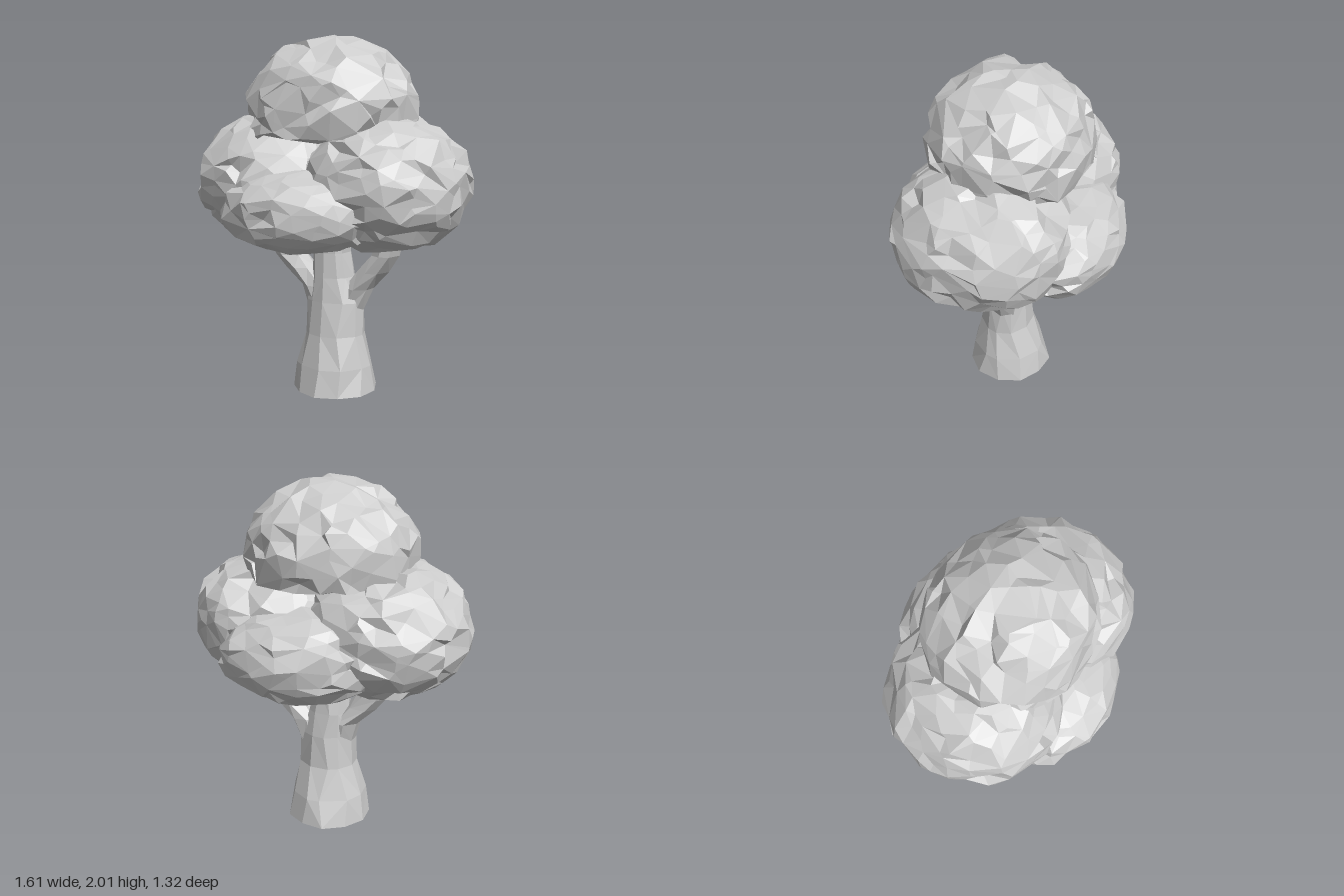
import * as THREE from 'three';
import { ConvexGeometry } from 'three/addons/geometries/ConvexGeometry.js';

// Small seeded random generator
function seeded(seed) {
  let s = seed;
  return () => {
    s = (s + 0x6d2b79f5) | 0;
    let t = Math.imul(s ^ (s >>> 15), 1 | s);
    t = (t + Math.imul(t ^ (t >>> 7), 61 | t)) ^ t;
    return ((t ^ (t >>> 14)) >>> 0) / 4294967296;
  };
}

// Irregularly faceted leaf clump: scattered points on a ball, hulled, then crumpled
function clumpGeometry(count, radii, seed, power, floor) {
  const rand = seeded(seed);
  const points = [];
  for (let i = 0; i < count; i++) {
    const y = THREE.MathUtils.clamp(1 - (2 * (i + 0.5)) / count + (rand() - 0.5) * 0.1, -1, 1);
    const a = i * 2.39996 + (rand() - 0.5) * 0.4;
    const r = Math.sqrt(1 - y * y);
    points.push(new THREE.Vector3(r * Math.cos(a), y, r * Math.sin(a)));
  }
  const geo = new ConvexGeometry(points);
  const pos = geo.attributes.position;
  const moved = new Map();
  const v = new THREE.Vector3();
  for (let i = 0; i < pos.count; i++) {
    v.fromBufferAttribute(pos, i);
    const key = `${v.x.toFixed(4)},${v.y.toFixed(4)},${v.z.toFixed(4)}`;
    if (!moved.has(key)) {
      // Rounded-box fullness, small bumps and some deeper creases
      const full = Math.pow(Math.abs(v.x) ** power + Math.abs(v.y) ** power + Math.abs(v.z) ** power, -1 / power);
      const crease = rand() < 0.16 ? -0.08 : 0;
      const p = v.clone().multiplyScalar(full * (0.965 + rand() * 0.07 + crease));
      p.y = Math.max(p.y, floor + rand() * 0.1);
      moved.set(key, p.multiply(radii));
    }
    const p = moved.get(key);
    pos.setXYZ(i, p.x, p.y, p.z);
  }
  geo.computeVertexNormals();
  return geo;
}

// Loft through level elliptical rings [x, y, z, radiusX, radiusZ], slightly uneven, with closed ends
function limbGeometry(rings, sides, seed) {
  const rand = seeded(seed);
  const verts = [];
  const index = [];
  rings.forEach(([x, y, z, rx, rz], k) => {
    for (let j = 0; j < sides; j++) {
      const a = ((j + (k ? (rand() - 0.5) * 0.45 : 0)) / sides) * Math.PI * 2;
      const w = 0.97 + rand() * 0.08;
      verts.push(x + Math.cos(a) * rx * w, y, z + Math.sin(a) * rz * w);
    }
  });
  for (let k = 0; k < rings.length - 1; k++) {
    for (let j = 0; j < sides; j++) {
      const a = k * sides + j;
      const b = k * sides + ((j + 1) % sides);
      const c = a + sides;
      const d = b + sides;
      if (j % 2) index.push(a, c, b, b, c, d);
      else index.push(a, c, d, a, d, b);
    }
  }
  const top = (rings.length - 1) * sides;
  for (let j = 1; j < sides - 1; j++) {
    index.push(0, j, j + 1, top, top + j + 1, top + j);
  }
  const geo = new THREE.BufferGeometry();
  geo.setAttribute('position', new THREE.Float32BufferAttribute(verts, 3));
  geo.setIndex(index);
  const flat = geo.toNonIndexed();
  flat.computeVertexNormals();
  return flat;
}

export function createModel() {
  const group = new THREE.Group();
  group.name = 'tree';
  const grey = new THREE.MeshStandardMaterial({ color: 0xcccccc, flatShading: true });
  grey.name = 'light grey';

  const add = (name, geo, position = [0, 0, 0]) => {
    const mesh = new THREE.Mesh(geo, grey);
    mesh.name = name;
    mesh.position.set(...position);
    group.add(mesh);
  };

  // Trunk with a flared foot
  add('trunk', limbGeometry([
    [0.02, 0, 0.01, 0.235, 0.24],
    [0.02, 0.15, 0.01, 0.215, 0.205],
    [0.03, 0.33, 0.02, 0.17, 0.15],
    [0.025, 0.52, 0.015, 0.16, 0.13],
    [0.01, 0.66, 0.01, 0.12, 0.12],
    [0.005, 0.8, 0.015, 0.105, 0.11],
    [0.005, 0.95, 0.015, 0.115, 0.11],
  ], 11, 5));

  // Forked branches
  add('leftBranch', limbGeometry([
    [0.1, 0.45, 0.01, 0.085, 0.08],
    [0.165, 0.6, 0.01, 0.085, 0.095],
    [0.25, 0.7, 0.015, 0.09, 0.095],
    [0.325, 0.8, 0.02, 0.08, 0.095],
    [0.37, 0.95, 0.02, 0.085, 0.1],
  ], 7, 8));
  add('rightBranch', limbGeometry([
    [-0.05, 0.48, 0.01, 0.085, 0.08],
    [-0.085, 0.6, 0.01, 0.085, 0.095],
    [-0.185, 0.7, 0.01, 0.095, 0.095],
    [-0.245, 0.77, 0.01, 0.095, 0.095],
    [-0.3, 0.86, 0.01, 0.085, 0.1],
    [-0.34, 0.95, 0.01, 0.09, 0.1],
  ], 7, 12));

  // Leaf clumps: name, centre, radii, point count, seed, fullness, flat bottom
  const clumps = [
    ['leftLeaves', [0.345, 1.205, 0.05], [0.455, 0.375, 0.49], 280, 21, 2.1, -0.97],
    ['rightLeaves', [-0.345, 1.205, -0.04], [0.455, 0.375, 0.49], 280, 34, 2.1, -0.97],
    ['frontLeaves', [-0.06, 1.065, 0.3], [0.45, 0.23, 0.35], 190, 47, 2.15, -0.95],
    ['backLeaves', [0.07, 1.09, -0.3], [0.46, 0.26, 0.355], 190, 58, 2.15, -0.95],
    ['topLeaves', [0, 1.585, 0.005], [0.485, 0.415, 0.455], 280, 76, 2.05, -0.35],
  ];
  for (const [name, centre, radii, count, seed, power, floor] of clumps) {
    add(name, clumpGeometry(count, new THREE.Vector3(...radii), seed, power, floor), centre);
  }
  return group;
}
